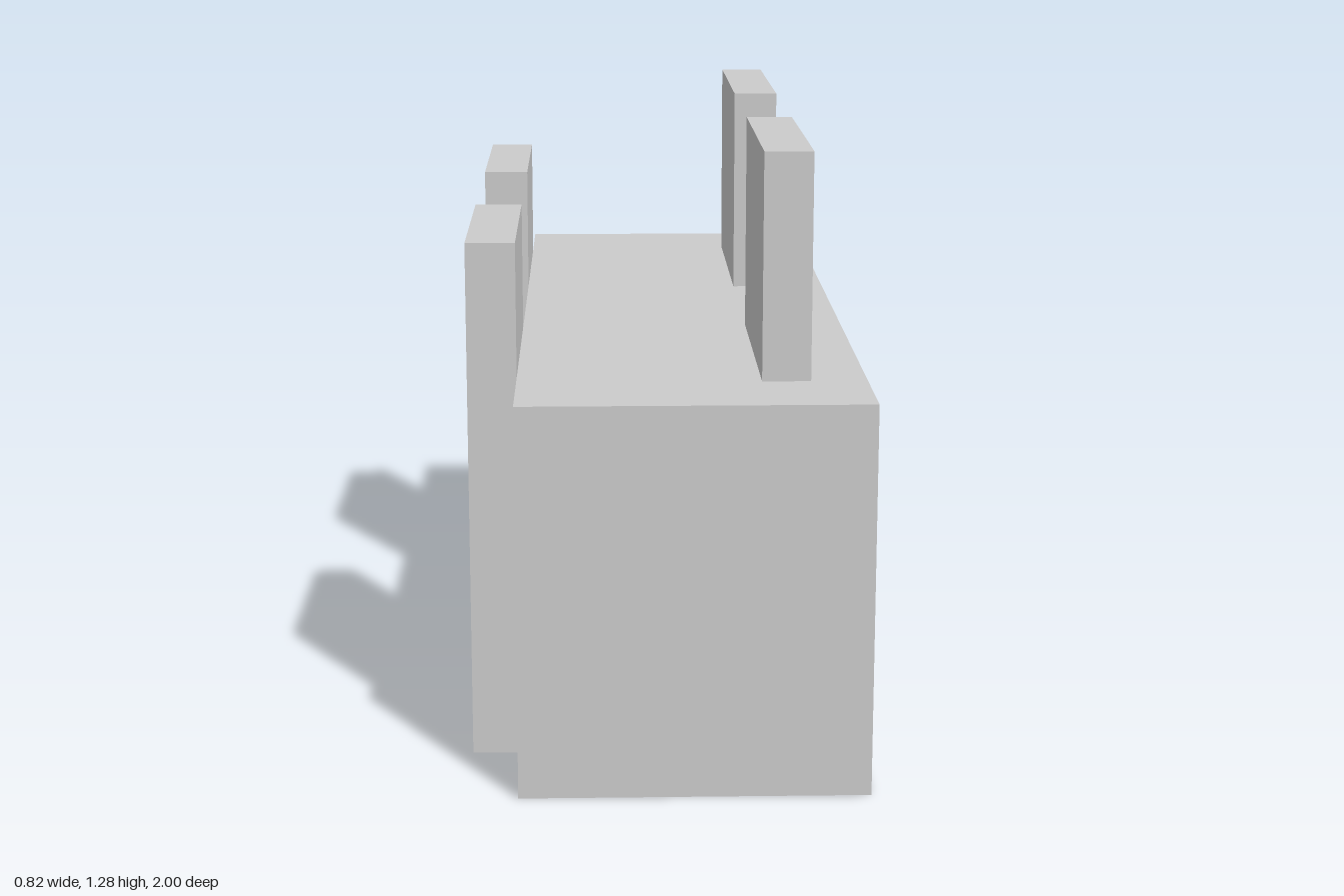
import * as THREE from 'three';

export function createModel() {
  const group = new THREE.Group();
  const material = new THREE.MeshStandardMaterial({ color: 0xcccccc, flatShading: true });

  // Box given by its lower and upper corners
  function addBox(name, [x0, y0, z0], [x1, y1, z1]) {
    const geometry = new THREE.BoxGeometry(x1 - x0, y1 - y0, z1 - z0);
    const mesh = new THREE.Mesh(geometry, material);
    mesh.position.set((x0 + x1) / 2, (y0 + y1) / 2, (z0 + z1) / 2);
    mesh.name = name;
    group.add(mesh);
  }

  // Main block
  addBox('body', [-0.308, 0, -1], [0.408, 0.815, 1]);

  // Mirrored pairs: tall slabs against the side, upright panels on top
  for (const [end, s] of [['front', 1], ['back', -1]]) {
    const span = (a, b) => (s > 0 ? [a, b] : [-b, -a]);
    const [s0, s1] = span(0.25, 0.75);
    addBox(end + 'SideSlab', [-0.41, 0, s0], [-0.308, 1.095, s1]);
    const [p0, p1] = span(0.23, 0.795);
    addBox(end + 'TopPanel', [0.192, 0.815, p0], [0.292, 1.285, p1]);
  }

  return group;
}
